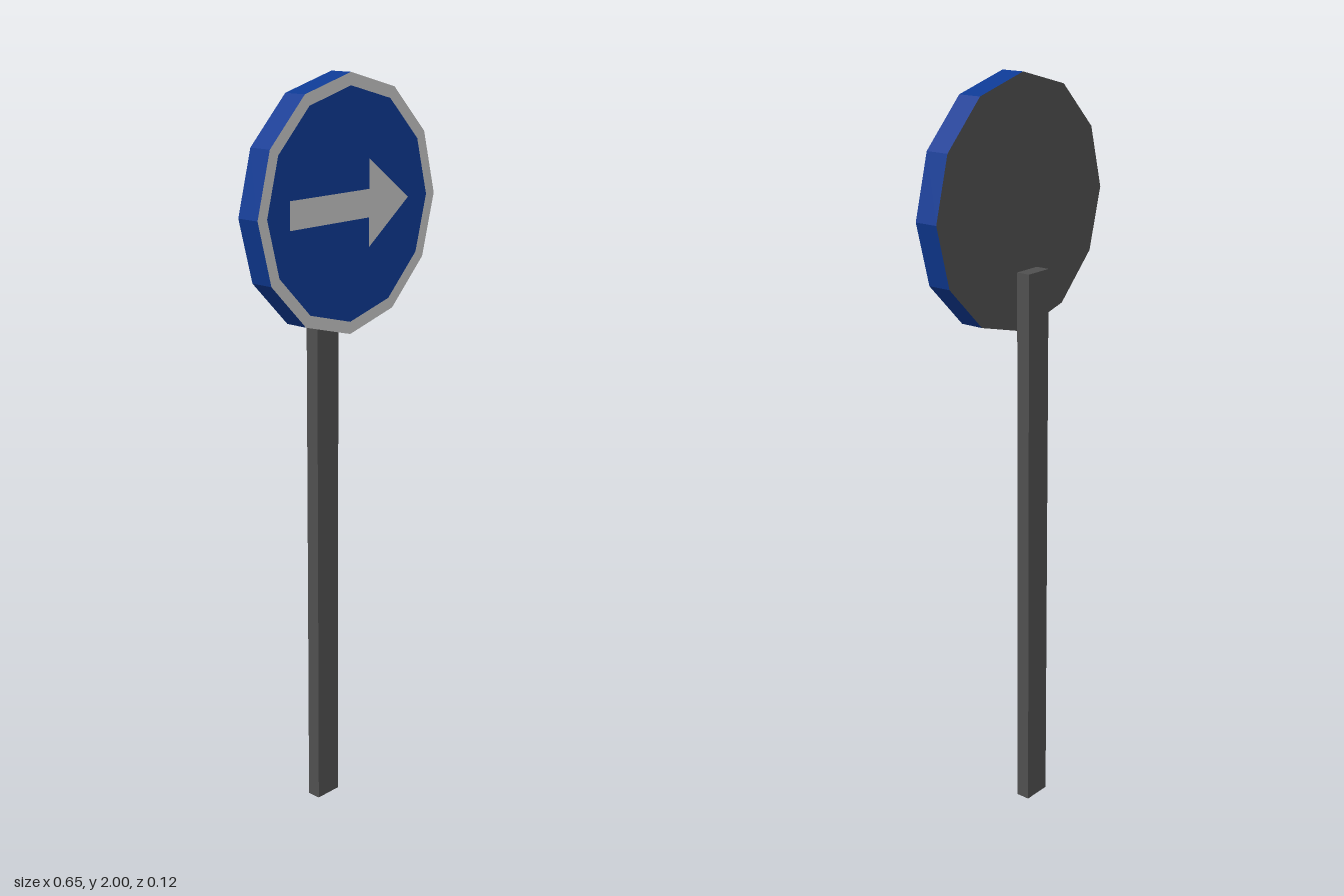
import * as THREE from 'three';

const SIDES = 12, RADIUS = 0.327, FACE_RADIUS = 0.295;
const CENTRE_Y = 2 - RADIUS, BACK_Z = -0.007, FRONT_Z = 0.058;

function material(name, color) {
  const m = new THREE.MeshStandardMaterial({ color });
  m.name = name;
  return m;
}

export function createModel() {
  const blue = material('signBlue', 0x0e3a94);
  const white = material('signWhite', 0xc6c6c6);
  const grey = material('metalGrey', 0x505050);
  const model = new THREE.Group();
  model.name = 'directionSign';

  function add(parent, name, geometry, mat, x = 0, y = 0, z = 0) {
    const mesh = new THREE.Mesh(geometry, mat);
    mesh.name = name;
    mesh.position.set(x, y, z);
    parent.add(mesh);
    return mesh;
  }

  // Flat rectangular post standing just behind the disc
  add(model, 'post', new THREE.BoxGeometry(0.08, 1.51, 0.038), grey, 0, 0.755, -0.039);

  // Twelve-sided sign disc
  const sign = new THREE.Group();
  sign.name = 'signDisc';
  sign.position.y = CENTRE_Y;
  model.add(sign);

  const depth = FRONT_Z - BACK_Z;
  const edge = new THREE.CylinderGeometry(RADIUS, RADIUS, depth, SIDES, 1, true)
    .rotateX(Math.PI / 2).toNonIndexed();
  edge.computeVertexNormals();
  add(sign, 'discEdge', edge, blue, 0, 0, (FRONT_Z + BACK_Z) / 2);

  const back = new THREE.CircleGeometry(RADIUS, SIDES).rotateY(Math.PI);
  add(sign, 'discBack', back, grey, 0, 0, BACK_Z);
  add(sign, 'discFace', new THREE.CircleGeometry(FACE_RADIUS, SIDES), blue, 0, 0, FRONT_Z);
  add(sign, 'faceBorder', new THREE.RingGeometry(FACE_RADIUS, RADIUS, SIDES), white, 0, 0, FRONT_Z);

  // Arrow pointing to the model's left
  const arrow = new THREE.Shape([
    [-0.218, -0.036], [0.069, -0.036], [0.069, -0.112], [0.22, 0],
    [0.069, 0.112], [0.069, 0.036], [-0.218, 0.036],
  ].map(([x, y]) => new THREE.Vector2(x, y)));
  add(sign, 'arrow', new THREE.ShapeGeometry(arrow), white, 0, 0, FRONT_Z + 0.001);

  return model;
}
